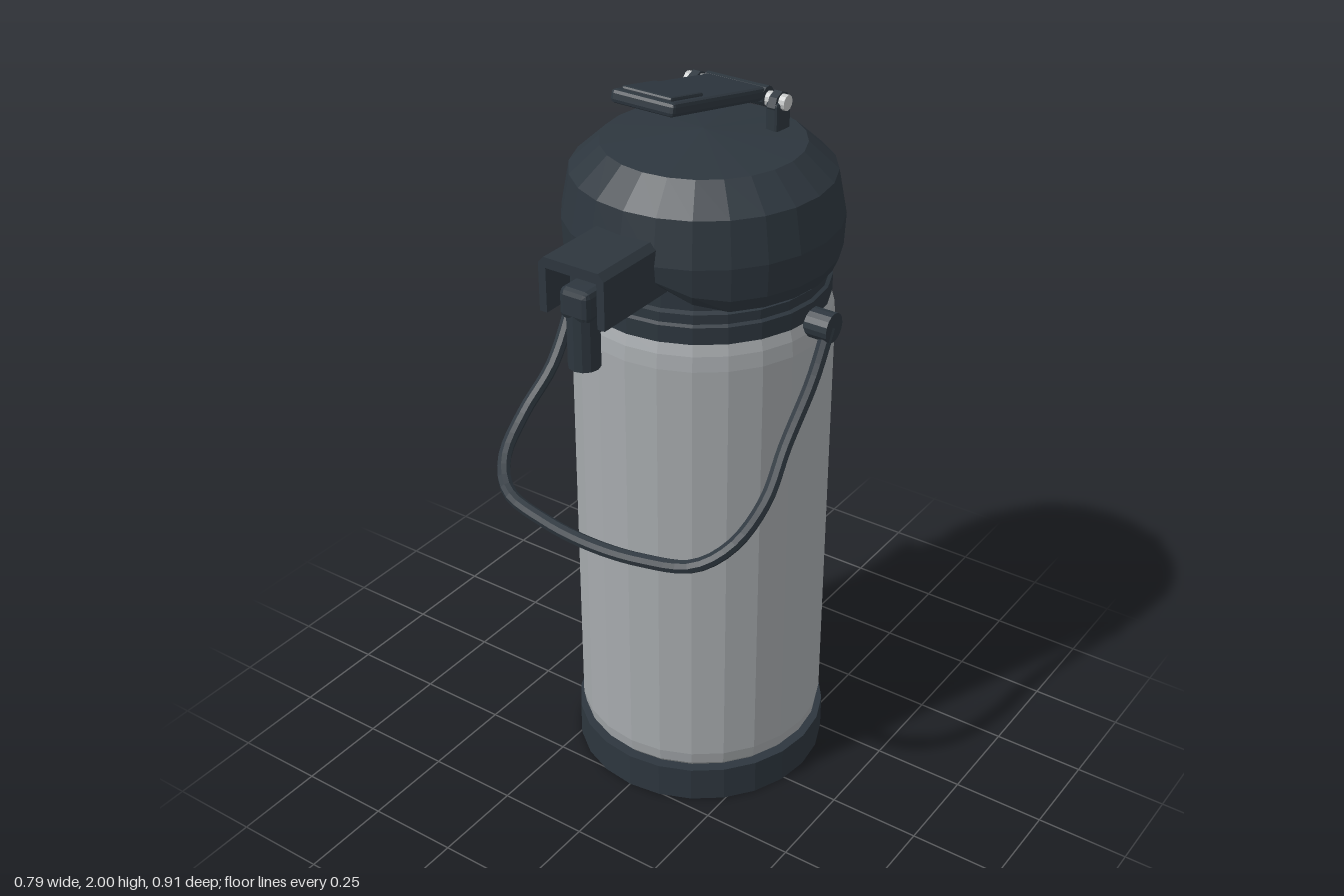
import * as THREE from 'three';
import { RoundedBoxGeometry } from 'three/addons/geometries/RoundedBoxGeometry.js';

const SIDES = 24;
const AXIS_Z = -0.08;

export function createModel() {
  const model = new THREE.Group();
  model.name = 'pumpFlask';

  const material = (name, color) => {
    const m = new THREE.MeshStandardMaterial({ color, flatShading: true });
    m.name = name;
    return m;
  };
  const dark = material('dark plastic', 0x2d363e);
  const steel = material('brushed steel', 0xa6aaad);
  const chrome = material('bright pin metal', 0xc4c6c6);

  const add = (name, geometry, mat, x = 0, y = 0, z = 0, parent = model) => {
    const mesh = new THREE.Mesh(geometry, mat);
    mesh.name = name;
    mesh.position.set(x, y, z);
    parent.add(mesh);
    return mesh;
  };
  const lathe = (points) =>
    new THREE.LatheGeometry(points.map(([r, y]) => new THREE.Vector2(r, y)), SIDES);
  const box = (w, h, d, r = 0.01) => new RoundedBoxGeometry(w, h, d, 1, r);
  const rod = (r, length, sides = 12) =>
    new THREE.CylinderGeometry(r, r, length, sides).rotateZ(Math.PI / 2);

  // Base, steel body and collar
  add('base', lathe([[0, 0], [0.347, 0], [0.347, 0.1], [0, 0.1]]), dark, 0, 0, AXIS_Z);
  add('body', lathe([[0.318, 0.1], [0.331, 0.115], [0.337, 0.15], [0.337, 1.34],
    [0.333, 1.38], [0.323, 1.415]]), steel, 0, 0, AXIS_Z);
  add('collar', lathe([[0.3, 1.41], [0.327, 1.41], [0.327, 1.455], [0.318, 1.46],
    [0.318, 1.485], [0.305, 1.49], [0.305, 1.62]]), dark, 0, 0, AXIS_Z);

  // Domed head, with its lower rim arched up beneath the spout
  const head = lathe([[0.29, 1.5], [0.335, 1.5], [0.35, 1.535], [0.354, 1.62],
    [0.332, 1.735], [0.255, 1.805], [0, 1.83]]);
  const p = head.attributes.position;
  for (let i = 0; i < p.count; i++) {
    const x = p.getX(i), y = p.getY(i);
    if (p.getZ(i) > 0 && y < 1.6 && Math.abs(x) < 0.25) {
      const lift = 0.09 * Math.cos((x / 0.25) * Math.PI / 2) ** 2;
      p.setY(i, y + lift * (y < 1.52 ? 1 : 0.7));
    }
  }
  head.computeVertexNormals();
  add('head', head, dark, 0, 0, AXIS_Z);

  // Spout hood: an upside-down channel
  const hood = new THREE.Shape();
  [[-0.094, 1.535], [-0.094, 1.66], [-0.078, 1.677], [0.078, 1.677], [0.094, 1.66],
    [0.094, 1.535], [0.073, 1.535], [0.073, 1.65], [-0.073, 1.65], [-0.073, 1.535]]
    .forEach(([x, y], i) => (i ? hood.lineTo(x, y) : hood.moveTo(x, y)));
  add('spoutHood', new THREE.ExtrudeGeometry(hood, { depth: 0.255, bevelEnabled: false }),
    dark, 0, 0, 0.2);
  add('spoutCore', box(0.15, 0.11, 0.17), dark, 0, 1.6, 0.285);
  add('spoutPipe', box(0.084, 0.1, 0.21), dark, 0, 1.54, 0.3);
  add('spoutElbow', box(0.084, 0.08, 0.08, 0.015), dark, 0, 1.57, 0.413);
  add('nozzle', new THREE.CylinderGeometry(0.04, 0.04, 0.16, 12), dark, 0, 1.48, 0.413);

  // Pump lever on its hinge
  const lever = new THREE.Group();
  lever.name = 'lever';
  lever.position.set(0, 1.885, -0.225);
  lever.rotation.x = -0.21;
  model.add(lever);
  add('leverArm', box(0.18, 0.034, 0.41), dark, 0, 0.005, 0.205, lever);
  add('thumbPad', box(0.142, 0.02, 0.135, 0.006), dark, 0, 0.021, 0.328, lever);
  add('leverBarrel', rod(0.026, 0.18), dark, 0, 0, 0, lever);
  for (const side of [-1, 1]) {
    add('hingePin', rod(0.02, 0.056), chrome, side * 0.12, 1.88, -0.225);
    add('hingePost', box(0.036, 0.09, 0.064, 0.008), dark, side * 0.12, 1.838, -0.225);
    add('hingeCap', rod(0.034, 0.022, 8), dark, side * 0.12, 1.872, -0.225);
  }

  // Carrying handle and pivots
  const half = [[0.372, 1.4, -0.08], [0.37, 1.28, -0.015], [0.362, 1.14, 0.09],
    [0.376, 1.04, 0.2], [0.355, 0.965, 0.31], [0.29, 0.918, 0.375], [0.15, 0.893, 0.4]];
  const path = [...half, [0, 0.886, 0.409],
    ...half.slice().reverse().map(([x, y, z]) => [-x, y, z])];
  const curve = new THREE.CatmullRomCurve3(path.map((v) => new THREE.Vector3(...v)));
  add('handle', new THREE.TubeGeometry(curve, 64, 0.018, 8), dark);
  for (const side of [-1, 1]) {
    add('handlePivot', rod(0.039, 0.07, 16), dark, side * 0.352, 1.4, AXIS_Z);
  }

  // Rear latch: upper tab, cross pin and lower clasp
  add('latchTab', box(0.14, 0.12, 0.05), dark, 0, 1.55, -0.434);
  add('latchPin', rod(0.018, 0.27), chrome, 0, 1.505, -0.432);
  add('latchClasp', box(0.25, 0.09, 0.05), dark, 0, 1.43, -0.412);
  for (const side of [-1, 1]) {
    add('latchEar', box(0.035, 0.07, 0.036, 0.008), dark, side * 0.085, 1.485, -0.425);
  }
  return model;
}
